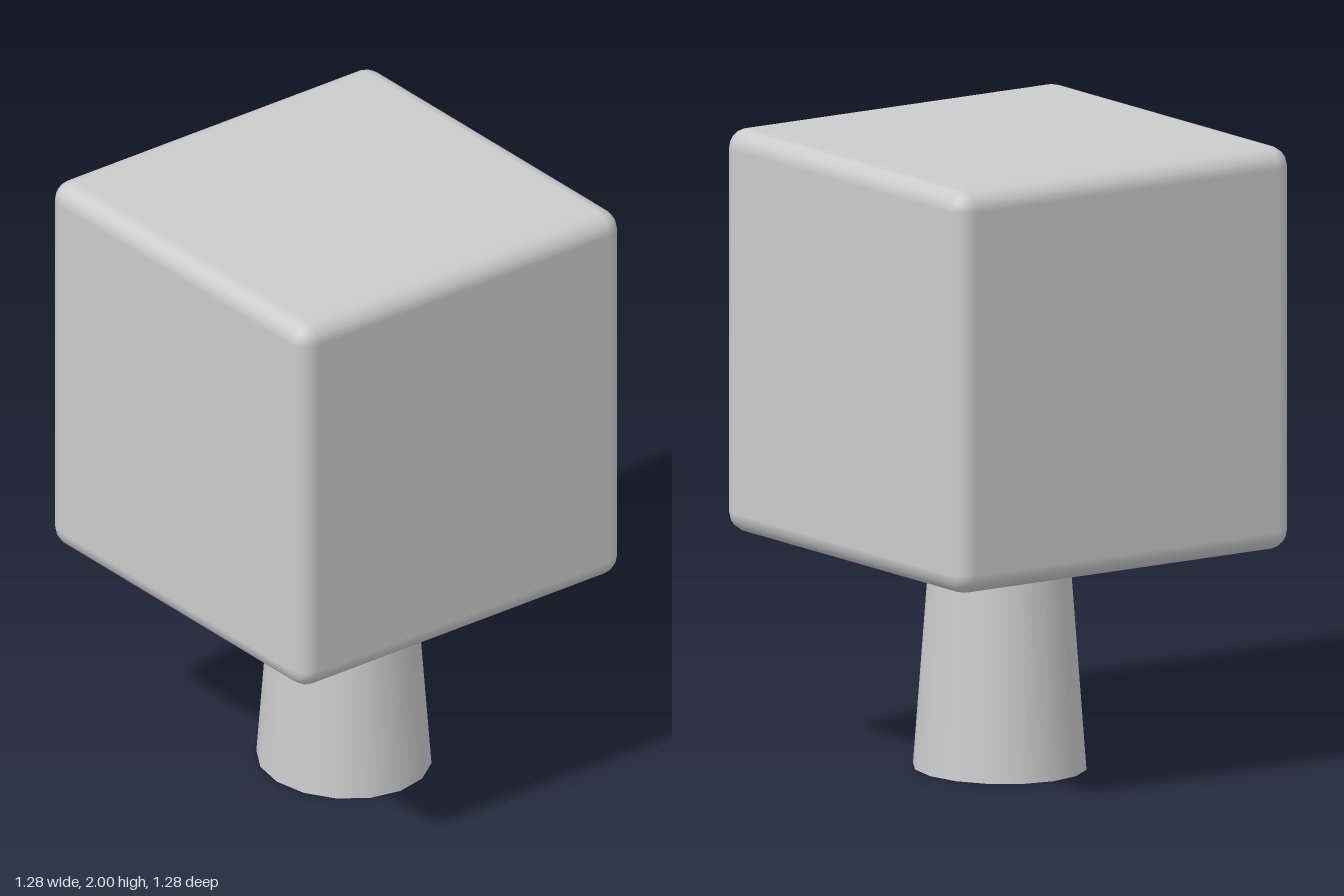
import * as THREE from 'three';
import { RoundedBoxGeometry } from 'three/addons/geometries/RoundedBoxGeometry.js';

export function createModel() {
  const group = new THREE.Group();
  const size = 1.285;

  // Cube head with softly rounded edges
  const head = new THREE.Mesh(
    new RoundedBoxGeometry(size, size, size, 2, 0.065),
    new THREE.MeshStandardMaterial({ color: 0xcccccc })
  );
  head.name = 'head';
  head.position.y = 2 - size / 2;
  group.add(head);

  // Tapered neck: slightly oval, open at the bottom, set a little back
  const height = 0.73;
  const neck = new THREE.Mesh(
    new THREE.CylinderGeometry(0.228, 0.286, height, 16, 1, true),
    new THREE.MeshStandardMaterial({ color: 0xcccccc, side: THREE.DoubleSide })
  );
  neck.name = 'neck';
  neck.scale.z = 0.93;
  neck.position.set(-0.002, height / 2, -0.033);
  group.add(neck);

  return group;
}
